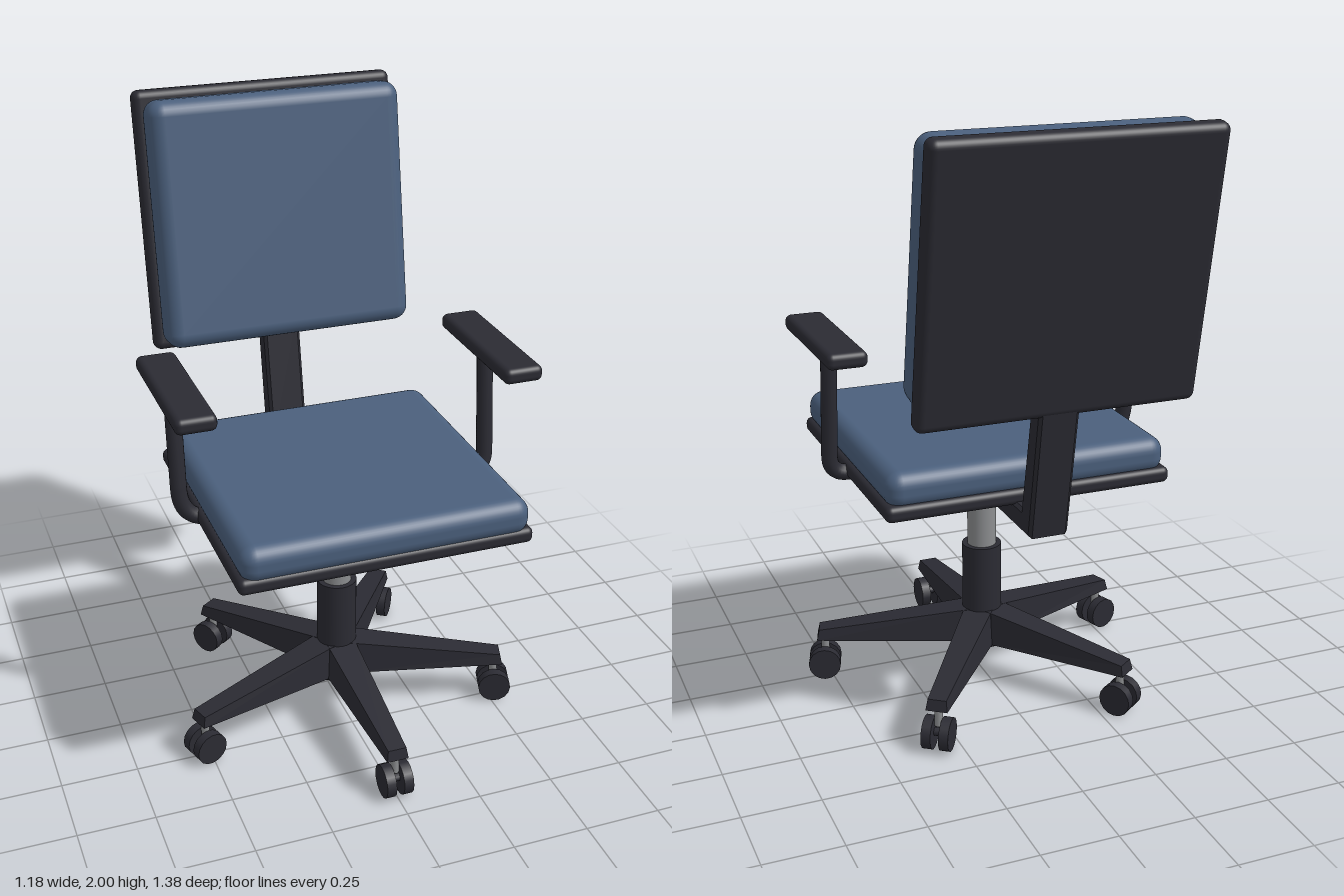
import * as THREE from 'three';
import { RoundedBoxGeometry } from 'three/addons/geometries/RoundedBoxGeometry.js';

const material = (name, color) => {
  const m = new THREE.MeshStandardMaterial({ color });
  m.name = name;
  return m;
};

export function createModel() {
  const fabric = material('blue fabric', 0x4b607d);
  const plastic = material('dark plastic', 0x2b2b33);
  const metal = material('grey metal', 0x8c8e90);

  const chair = new THREE.Group();
  chair.name = 'officeChair';
  const axisZ = 0.09; // the gas column stands slightly ahead of the centre

  const add = (parent, name, geometry, mat, x = 0, y = 0, z = 0) => {
    const mesh = new THREE.Mesh(geometry, mat);
    mesh.name = name;
    mesh.position.set(x, y, z);
    parent.add(mesh);
    return mesh;
  };
  const rounded = (w, h, d, r) => new RoundedBoxGeometry(w, h, d, 4, r);

  // Seat
  add(chair, 'seatCushion', rounded(0.935, 0.12, 0.918, 0.05), fabric, 0, 0.885, 0.117);
  add(chair, 'seatShell', rounded(0.954, 0.052, 0.922, 0.02), plastic, 0, 0.821, 0.11);
  add(chair, 'tiltMechanism', rounded(0.46, 0.07, 0.415, 0.012), plastic, 0, 0.768, 0.107);

  // Backrest, leaning back ten degrees
  const lean = -THREE.MathUtils.degToRad(10);
  add(chair, 'backCushion', rounded(0.86, 0.815, 0.14, 0.05), fabric, 0, 1.587, -0.48).rotation.x = lean;
  add(chair, 'backShell', rounded(0.896, 0.868, 0.066, 0.026), plastic, 0, 1.57, -0.586).rotation.x = lean;

  // L-shaped bar joining seat and backrest; profile is (z, y)
  const barProfile = new THREE.Shape([
    [-0.02, 0.742], [-0.462, 0.742], [-0.542, 1.2], [-0.49, 1.2], [-0.412, 0.798], [-0.02, 0.798],
  ].reverse().map(([z, y]) => new THREE.Vector2(z, y)));
  const bar = new THREE.ExtrudeGeometry(barProfile, {
    depth: 0.11, bevelEnabled: true, bevelThickness: 0.01, bevelSize: 0.01, bevelSegments: 1,
  });
  bar.translate(0, 0, -0.055).rotateY(-Math.PI / 2);
  add(chair, 'backBar', bar, plastic);

  // Armrests: a pad on a bent tube; the +x tube has a tighter bend
  for (const side of [-1, 1]) {
    const arm = new THREE.Group();
    arm.name = side > 0 ? 'leftArmrest' : 'rightArmrest';
    chair.add(arm);
    add(arm, 'armPad', rounded(0.13, 0.052, 0.512, 0.02), plastic, side * 0.526, 1.261, 0.095);
    const p = (x, y, z) => new THREE.Vector3(side * x, y, z);
    const path = new THREE.CurvePath();
    const bend = side > 0 ? 0.88 : 0.93;
    const inner = side > 0 ? 0.49 : 0.455;
    path.add(new THREE.LineCurve3(p(0.528, 1.25, 0.05), p(0.528, bend, 0.085)));
    path.add(new THREE.QuadraticBezierCurve3(p(0.528, bend, 0.085), p(0.528, 0.825, 0.09), p(inner, 0.813, 0.09)));
    path.add(new THREE.LineCurve3(p(inner, 0.813, 0.09), p(0.35, 0.797, 0.09)));
    add(arm, 'armTube', new THREE.TubeGeometry(path, 48, 0.027, 12), plastic);
  }

  // Gas column and hub
  add(chair, 'gasPiston', new THREE.CylinderGeometry(0.049, 0.049, 0.28, 24), metal, 0, 0.6, axisZ);
  add(chair, 'columnSleeve', new THREE.CylinderGeometry(0.067, 0.067, 0.345, 24), plastic, 0, 0.3125, axisZ);
  add(chair, 'hub', new THREE.CylinderGeometry(0.085, 0.092, 0.115, 24), plastic, 0, 0.185, axisZ);

  // Tapered leg running along +z, narrower on top and lower at the tip
  const legGeometry = () => {
    const g = new THREE.BoxGeometry(1, 1, 1).toNonIndexed();
    const v = g.attributes.position;
    for (let i = 0; i < v.count; i++) {
      const tip = v.getZ(i) > 0;
      const top = v.getY(i) > 0;
      const halfWidth = (tip ? 0.036 : 0.058) * (top ? 0.85 : 1);
      v.setXYZ(
        i,
        Math.sign(v.getX(i)) * halfWidth,
        top ? (tip ? 0.182 : 0.254) : (tip ? 0.145 : 0.136),
        tip ? (top ? 0.564 : 0.572) : 0.04,
      );
    }
    g.computeVertexNormals();
    return g;
  };

  // Five legs with twin-wheel casters
  const leg = legGeometry();
  const wheel = new THREE.CylinderGeometry(0.055, 0.055, 0.032, 16).rotateZ(Math.PI / 2);
  const axle = new THREE.CylinderGeometry(0.014, 0.014, 0.06, 10).rotateZ(Math.PI / 2);
  const stem = new THREE.CylinderGeometry(0.014, 0.014, 0.07, 12);
  for (let i = 0; i < 5; i++) {
    const spoke = new THREE.Group();
    spoke.name = `baseSpoke${i + 1}`;
    spoke.position.z = axisZ;
    spoke.rotation.y = (i * Math.PI * 2) / 5;
    chair.add(spoke);
    add(spoke, 'leg', leg, plastic);
    add(spoke, 'casterStem', stem, metal, 0, 0.118, 0.545);
    add(spoke, 'casterAxle', axle, plastic, 0, 0.06, 0.548);
    for (const s of [-1, 1]) add(spoke, 'casterWheel', wheel, plastic, s * 0.029, 0.056, 0.548);
  }

  return chair;
}
